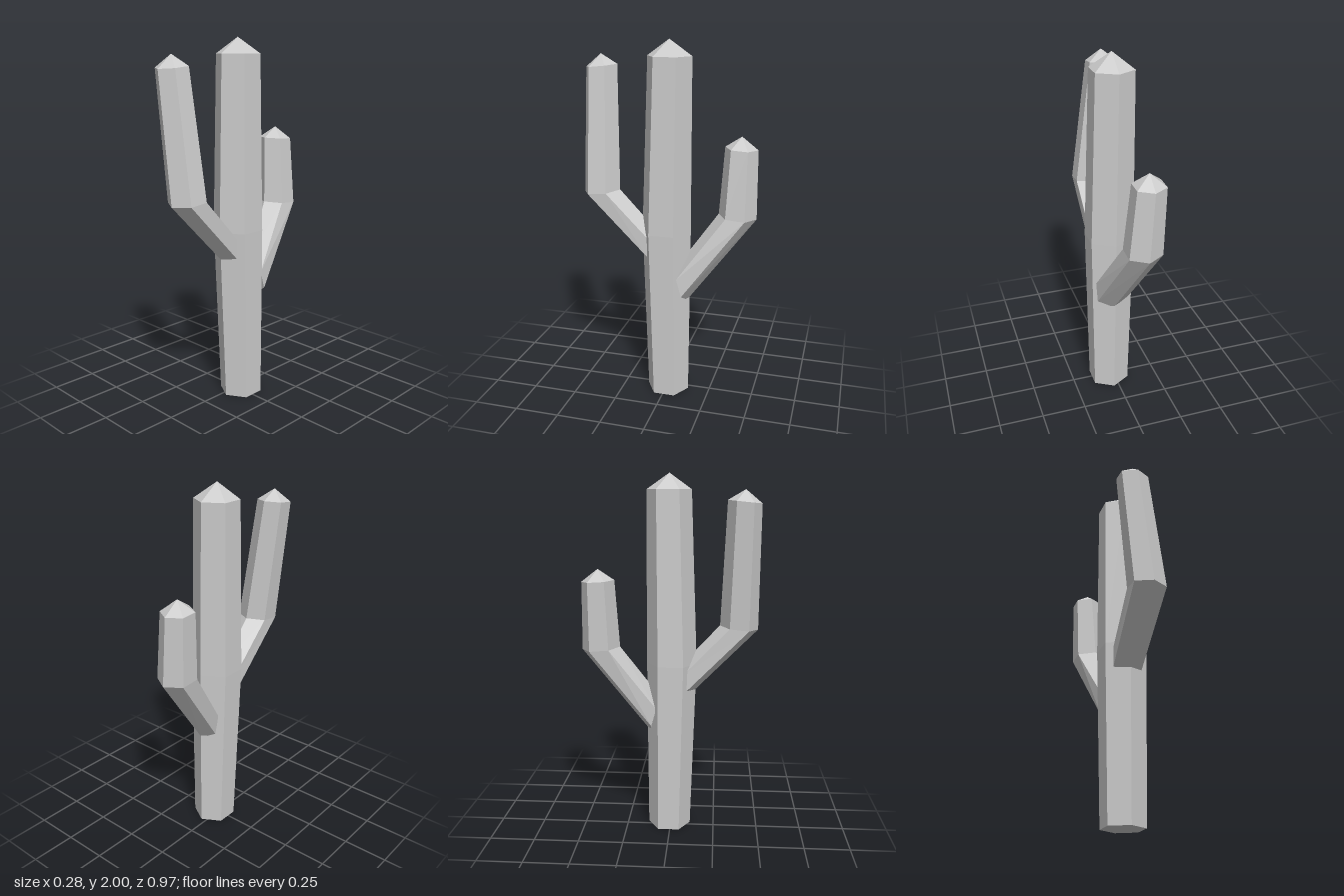
import * as THREE from 'three';

const SIDES = 6;

// Each ring: [x, y, z, radius, tilt about x]; the limb ends in a pointed cap at tip.
function limb(name, rings, tip, material) {
  const positions = [];
  const index = [];
  for (const [x, y, z, r, tilt] of rings) {
    for (let i = 0; i < SIDES; i++) {
      const a = (i / SIDES) * Math.PI * 2;
      const v = r * Math.cos(a);
      positions.push(x + r * Math.sin(a), y - v * Math.sin(tilt), z + v * Math.cos(tilt));
    }
  }
  const base = positions.length / 3;
  positions.push(...rings[0].slice(0, 3), ...tip);

  const last = (rings.length - 1) * SIDES;
  for (let i = 0; i < SIDES; i++) {
    const n = (i + 1) % SIDES;
    for (let k = 0; k < last; k += SIDES) {
      index.push(k + i, k + n, k + SIDES + n, k + i, k + SIDES + n, k + SIDES + i);
    }
    index.push(base, n, i); // bottom
    index.push(last + i, last + n, base + 1); // pointed cap
  }

  const indexed = new THREE.BufferGeometry();
  indexed.setAttribute('position', new THREE.Float32BufferAttribute(positions, 3));
  indexed.setIndex(index);
  const geometry = indexed.toNonIndexed();
  geometry.computeVertexNormals();
  const mesh = new THREE.Mesh(geometry, material);
  mesh.name = name;
  return mesh;
}

export function createModel() {
  const group = new THREE.Group();
  group.name = 'cactus';
  const material = new THREE.MeshStandardMaterial({ color: 0xcccccc, flatShading: true });

  // Upright stem, slightly swollen at mid height
  group.add(limb('trunk', [
    [0.03, 0, -0.008, 0.12, 0],
    [0.02, 0.97, 0.006, 0.139, 0],
    [0.007, 1.915, -0.008, 0.121, 0],
  ], [0.007, 2, -0.006], material));

  // Higher, longer arm at the front
  group.add(limb('frontArm', [
    [0.02, 0.875, 0.085, 0.093, 1.35],
    [0.022, 1.175, 0.377, 0.105, 0.1],
    [-0.06, 1.852, 0.392, 0.09, 0.1],
  ], [-0.06, 1.915, 0.395], material));

  // Lower, shorter arm at the back
  group.add(limb('backArm', [
    [0.03, 0.67, -0.09, 0.105, -1.3],
    [-0.04, 1.063, -0.38, 0.105, -0.08],
    [-0.062, 1.436, -0.388, 0.09, -0.06],
  ], [-0.062, 1.5, -0.388], material));

  return group;
}
